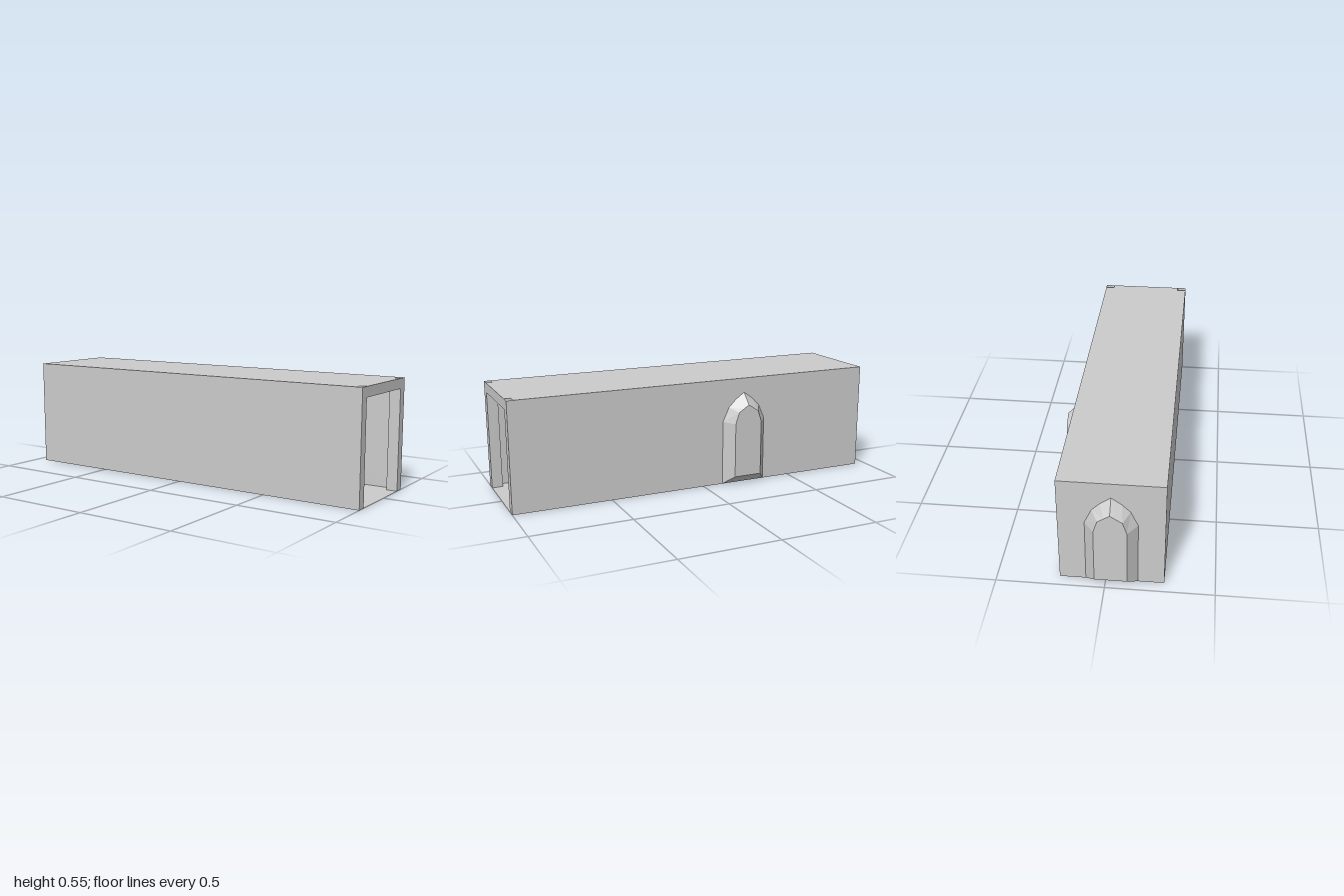
import * as THREE from 'three';

const X0 = -0.945, X1 = 1, H = 0.553, ZB = -0.212, ZF = 0.268;
const POST = 0.047, DEPTH = 0.055, NOTCH = 0.968;

// Half outline of the pointed arch: rim on the wall and smaller far panel
const RIM = [[0.12, 0], [0.119, 0.333], [0.086, 0.406], [0.047, 0.445], [0, 0.478]];
const PANEL = [[0.074, 0.047], [0.074, 0.328], [0.055, 0.387], [0.0275, 0.405], [0, 0.423]];
const mirror = (half) => [...half, ...half.slice(0, -1).reverse().map(([x, y]) => [-x, y])];

export function createModel() {
  const model = new THREE.Group();
  const material = new THREE.MeshStandardMaterial({
    color: 0xcccccc, flatShading: true, side: THREE.DoubleSide,
  });

  const add = (name, geometry, parent = model) => {
    const mesh = new THREE.Mesh(geometry, material);
    mesh.name = name;
    parent.add(mesh);
    return mesh;
  };
  const sheet = (pts) =>
    new THREE.ShapeGeometry(new THREE.Shape(pts.map(([x, y]) => new THREE.Vector2(x, y))));

  // Strip of quads between two matching rows of 3D points
  const strip = (a, b, closed = false) => {
    const pos = [];
    const n = closed ? a.length : a.length - 1;
    for (let i = 0; i < n; i++) {
      const j = (i + 1) % a.length;
      pos.push(...a[i], ...a[j], ...b[j], ...a[i], ...b[j], ...b[i]);
    }
    const g = new THREE.BufferGeometry();
    g.setAttribute('position', new THREE.Float32BufferAttribute(pos, 3));
    g.computeVertexNormals();
    return g;
  };

  // Wall outline with the arched opening cut up from the floor line
  const archedWall = (u0, u1, centre) => sheet([
    [u0, 0], ...mirror(RIM).reverse().map(([x, y]) => [centre + x, y]),
    [u1, 0], [u1, H], [u0, H],
  ]);

  // Floor and roof, notched at the open end where the posts stand
  const slab = [
    [X0, ZB], [NOTCH, ZB], [NOTCH, ZB + POST], [X1, ZB + POST],
    [X1, ZF - POST], [NOTCH, ZF - POST], [NOTCH, ZF], [X0, ZF],
  ];
  add('floor', sheet(slab).rotateX(Math.PI / 2));
  add('roof', sheet(slab).rotateX(Math.PI / 2).translate(0, H, 0));

  // Walls
  add('frontWall', sheet([[X0, 0], [X1, 0], [X1, H], [X0, H]]).translate(0, 0, ZF));
  add('backWall', archedWall(X0, X1, -0.228).translate(0, 0, ZB));
  add('endWall', archedWall(ZB, ZF, 0.028).rotateY(-Math.PI / 2).translate(X0, 0, 0));

  // Niches: tapered sides and a flat panel, pushed out along local -z
  const niche = (name) => {
    const group = new THREE.Group();
    group.name = name;
    const rim = mirror(RIM).map(([x, y]) => [x, y, 0]);
    const panel = mirror(PANEL).map(([x, y]) => [x, y, -DEPTH]);
    add('nicheSides', strip(rim, panel, true), group);
    add('nichePanel', sheet(mirror(PANEL)).translate(0, 0, -DEPTH), group);
    model.add(group);
    return group;
  };
  niche('backNiche').position.set(-0.228, 0, ZB);
  const endNiche = niche('endNiche');
  endNiche.position.set(X0, 0, 0.028);
  endNiche.rotation.y = Math.PI / 2;

  // Hollow door posts, open at top and bottom
  for (const [name, z, dir] of [['frontPost', ZF, -1], ['backPost', ZB, 1]]) {
    const inner = z + dir * POST;
    const path = [[X1, z], [X1, inner], [X1 - DEPTH, inner], [X1 - DEPTH, z]];
    add(name, strip(path.map(([x, pz]) => [x, 0, pz]), path.map(([x, pz]) => [x, H, pz])));
  }

  // Lintel spanning between the posts
  const drop = H - 0.05;
  const lintel = [[X1, H], [X1, drop], [X1 - DEPTH, drop], [X1 - DEPTH, H]];
  add('lintel', strip(
    lintel.map(([x, y]) => [x, y, ZB + POST]),
    lintel.map(([x, y]) => [x, y, ZF - POST]),
  ));

  return model;
}
